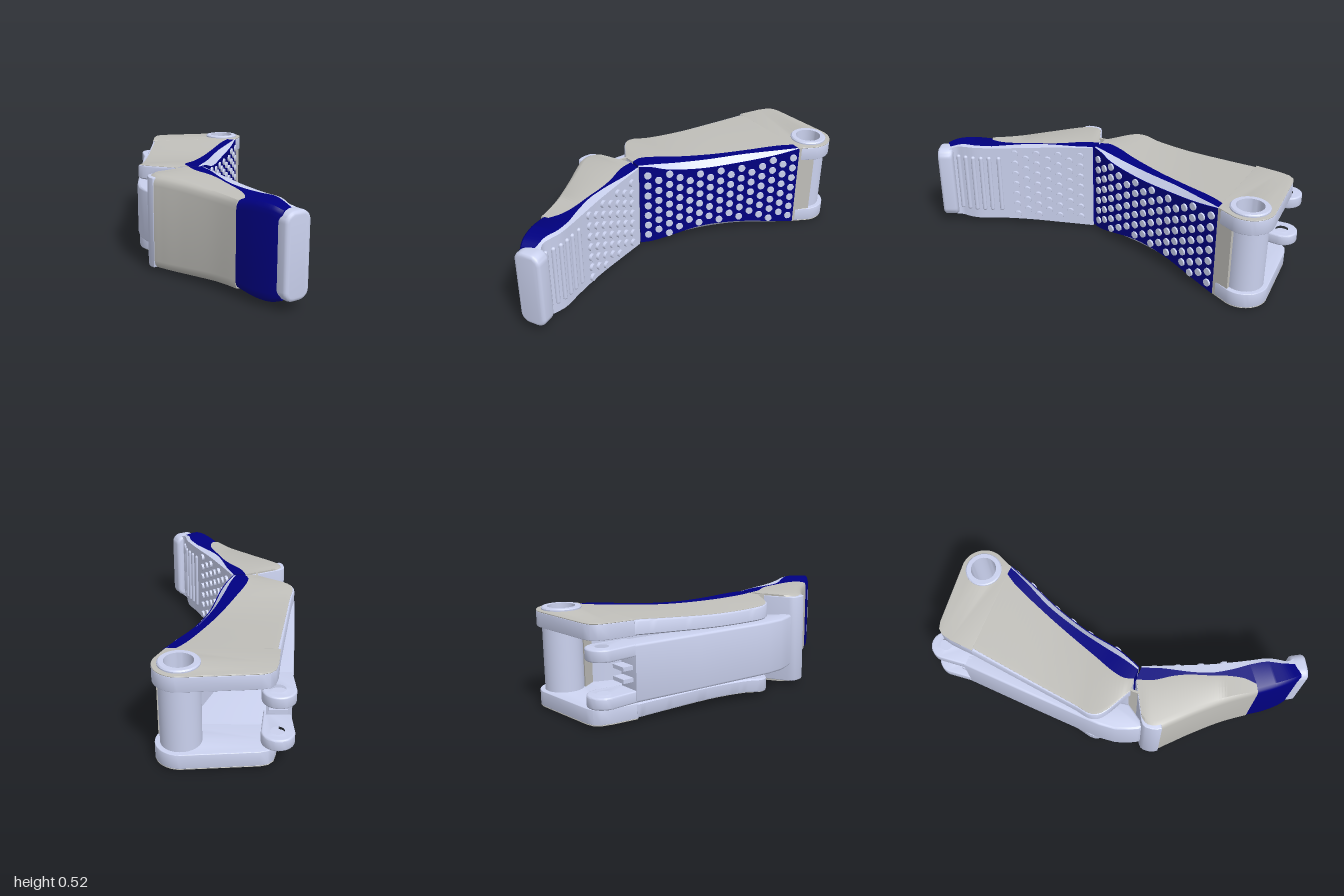
import * as THREE from 'three';
import { toCreasedNormals } from 'three/addons/utils/BufferGeometryUtils.js';

const MID = 0.2625; // height of the mirror plane
const grey = new THREE.MeshStandardMaterial({ color: 0xc0bfba });
const pale = new THREE.MeshStandardMaterial({ color: 0xcad1ee });
const blue = new THREE.MeshStandardMaterial({ color: 0x000080 });

// A curve from [x, z, half height] points; the half height rides along as y
const curve = (pts) => new THREE.CatmullRomCurve3(pts.map(([x, z, h]) => new THREE.Vector3(x, h, z)), false, 'centripetal');
const shift = (c, dx) => new THREE.CatmullRomCurve3(c.points.map((p) => p.clone().setX(p.x + dx)), false, 'centripetal');

// Solid between two curves; section is a convex loop of [u across, v of half height]
function loft(a, b, section, steps = 40) {
  const pos = [], idx = [], n = section.length;
  for (let j = 0; j <= steps; j++) {
    const p = a.getPointAt(j / steps), q = b.getPointAt(j / steps);
    for (const [u, v] of section) {
      const m = p.clone().lerp(q, u);
      pos.push(m.x, MID + v * m.y, m.z);
    }
  }
  for (let j = 0; j < steps; j++) {
    for (let i = 0; i < n; i++) {
      const k = (i + 1) % n, r = j * n, s = r + n;
      idx.push(r + i, r + k, s + i, r + k, s + k, s + i);
    }
  }
  const e = steps * n;
  for (let i = 1; i < n - 1; i++) idx.push(0, i + 1, i, e, e + i, e + i + 1);
  const g = new THREE.BufferGeometry();
  g.setAttribute('position', new THREE.Float32BufferAttribute(pos, 3));
  g.setIndex(idx);
  return toCreasedNormals(g, 0.6);
}

// Upright prism from [x, z] corners, with round holes [x, z, r] and rounded rims
function prism(pts, y0, y1, holes = [], bevel = 0.01) {
  const s = new THREE.Shape(pts.map(([x, z]) => new THREE.Vector2(x, -z)));
  for (const [x, z, r] of holes) s.holes.push(new THREE.Path().absarc(x, -z, r, 0, Math.PI * 2, true));
  const g = new THREE.ExtrudeGeometry(s, {
    depth: y1 - y0 - 2 * bevel, bevelEnabled: bevel > 0, bevelThickness: bevel,
    bevelSize: bevel, bevelOffset: -bevel, bevelSegments: 3, curveSegments: 32,
  });
  g.rotateX(-Math.PI / 2).translate(0, y0 + bevel, 0);
  return toCreasedNormals(g, 0.6);
}

const arc = (cx, cz, r, a0, a1, n = 16) => Array.from({ length: n + 1 }, (_, i) => {
  const a = a0 + (a1 - a0) * i / n;
  return [cx + r * Math.cos(a), cz + r * Math.sin(a)];
});

const FULL = [[0, -1], [1, -1], [1, 1], [0, 1]];
const ROUND = [[0, -0.8], [0.02, -0.9], [0.07, -0.96], [0.16, -1], [1, -1], [1, 1], [0.16, 1], [0.07, 0.96], [0.02, 0.9], [0, 0.8]];
const PLATE = [[0, 0.7], [0.03, 0.67], [1, 0.67], [1, 0.985], [0.04, 0.985], [0.01, 0.97], [0, 0.94]];
const SKIN = [[0.03, 0.97], [1, 0.97], [1, 1], [0.1, 1], [0.03, 0.988]];
const flip = (s) => s.map(([u, v]) => [u, -v]).reverse();

export function createModel() {
  const root = new THREE.Group();
  const add = (name, geo, mat, parent = root) => {
    const m = new THREE.Mesh(geo, mat);
    m.name = name;
    parent.add(m);
    return m;
  };
  // Puts a stud or ridge on a curve, facing along its outward normal
  const place = (mesh, c, t, y, upright) => {
    const p = c.getPointAt(t), d = c.getTangentAt(t);
    const n = new THREE.Vector3(d.z, 0, -d.x).normalize();
    mesh.position.set(p.x, y, p.z);
    if (!upright) mesh.quaternion.setFromUnitVectors(new THREE.Vector3(0, 1, 0), n);
  };
  const stud = new THREE.CylinderGeometry(0.02, 0.022, 0.03, 14);
  const studs = (name, c, cols, t0, t1) => {
    const g = new THREE.Group();
    g.name = name;
    root.add(g);
    for (let i = 0; i < cols; i++) {
      const t = t0 + (t1 - t0) * i / (cols - 1), lim = c.getPointAt(t).y - 0.02;
      for (let k = -3; k <= 3; k++) {
        const dy = (k + (i % 2 ? 0.5 : 0)) * 0.065;
        if (Math.abs(dy) < lim) place(add('gripStud', stud, pale, g), c, t, MID + dy);
      }
    }
  };

  // Long segment, waisted in the middle: two skinned side plates joined by a grip wall
  const back = curve([[-0.255, -0.74, 0.25], [-0.282, -0.55, 0.238], [-0.318, -0.3, 0.226], [-0.349, -0.1, 0.23], [-0.367, -0.01, 0.24], [-0.345, 0.04, 0.245], [-0.17, 0.145, 0.25]]);
  const seam = curve([[0.235, -0.74, 0.25], [0.19, -0.67, 0.245], [0.1, -0.47, 0.231], [0.03, -0.3, 0.226], [-0.05, -0.1, 0.234], [-0.1, 0.02, 0.246], [-0.115, 0.09, 0.252], [-0.1, 0.138, 0.252]]);
  const edge = curve([[0.28, -0.74, 0.248], [0.225, -0.62, 0.243], [0.138, -0.45, 0.231], [0.068, -0.25, 0.226], [0.02, -0.08, 0.235], [-0.018, 0.06, 0.249], [-0.045, 0.14, 0.252]]);
  const face = curve([[0.283, -0.735, 0.246], [0.235, -0.6, 0.222], [0.152, -0.4, 0.197], [0.085, -0.2, 0.192], [0.032, 0, 0.222], [-0.005, 0.08, 0.244], [-0.035, 0.14, 0.25]]);
  add('upperPlate', loft(back, seam, PLATE), pale);
  add('lowerPlate', loft(back, seam, flip(PLATE)), pale);
  add('upperSkin', loft(back, seam, SKIN), grey);
  add('lowerSkin', loft(back, seam, flip(SKIN)), grey);
  add('innerLining', loft(shift(seam, -0.03), seam, FULL.map(([u, v]) => [u, v * 0.8])), pale);
  add('gripWall', loft(seam, edge, FULL), blue);
  add('gripFlare', loft(edge, face, FULL), pale);
  add('gripFace', loft(face, shift(face, 0.006), FULL), blue);
  studs('longGripStuds', face, 15, 0.035, 0.95);

  // Knuckle end: plate heads around a hollow pivot tube
  const pivot = [0.21, -0.87];
  const head = [[-0.255, -0.735], [-0.24, -0.87], [-0.225, -0.925], [-0.2, -0.953], [-0.16, -0.965],
    ...arc(...pivot, 0.125, -Math.PI / 2, 0.35), [0.283, -0.735]];
  const hole = [[...pivot, 0.085]];
  add('upperHead', prism(head, 0.43, 0.508, hole, 0.003), pale);
  add('lowerHead', prism(head, 0.017, 0.095, hole, 0.003), pale);
  add('upperHeadSkin', prism(head, 0.5065, 0.5125, hole, 0.002), grey);
  add('lowerHeadSkin', prism(head, 0.0125, 0.0185, hole, 0.002), grey);
  add('wallEnd', prism([[0.14, -0.79], [0.21, -0.785], [0.285, -0.83], [0.322, -0.825], [0.284, -0.735], [0.2, -0.7]], 0.015, 0.51, [], 0), grey);
  const tube = [[0.07, 0], [0.094, 0], [0.1, 0.006], [0.1, 0.519], [0.094, 0.525], [0.07, 0.525], [0.07, 0]];
  const tubeGeo = new THREE.LatheGeometry(tube.map((p) => new THREE.Vector2(...p)), 48);
  add('pivotTube', toCreasedNormals(tubeGeo, 0.6), pale).position.set(pivot[0], 0, pivot[1]);

  // Link bar behind the plates, forked at the rear, with sunk pins in the ears
  const link = new THREE.Group();
  link.name = 'linkBar';
  root.add(link);
  add('barBody', prism([[-0.315, -0.78], [-0.345, -0.4], [-0.37, -0.05], [-0.375, 0.04], [-0.368, 0.13], [-0.345, 0.2],
    [-0.32, 0.25], [-0.3, 0.26], [-0.275, 0.24], [-0.21, 0.15], [-0.225, 0.05], [-0.24, -0.1], [-0.19, -0.78]], 0.12, 0.407, [], 0.012), pale, link);
  const ear = [...arc(-0.242, -0.917, 0.08, Math.PI, Math.PI * 2), [-0.18, -0.74], [-0.31, -0.74]];
  const pin = new THREE.CylinderGeometry(0.043, 0.043, 0.02, 24);
  for (const y of [0.12, 0.347]) {
    add('forkEar', prism(ear, y, y + 0.06, [[-0.24, -0.915, 0.042]], 0.008), pale, link);
    add('earPin', pin, pale, link).position.set(-0.24, y + 0.03, -0.915);
  }
  for (const y of [0.23, 0.29]) {
    add('forkRib', new THREE.BoxGeometry(0.09, 0.02, 0.07), pale, link).position.set(-0.245, y, -0.8);
  }

  // Thin flexible hinge between the segments
  add('hinge', new THREE.BoxGeometry(0.012, 0.5, 0.06), grey).position.set(-0.165, MID, 0.165);

  // Tip segment, bent forward, with a pale rear wrap
  const dorsal = curve([[-0.3, 0.255, 0.248], [-0.325, 0.29, 0.25], [-0.315, 0.345, 0.25], [-0.26, 0.405, 0.25], [-0.16, 0.505, 0.242], [-0.03, 0.65, 0.226], [0.065, 0.78, 0.217]]);
  const tipSeam = curve([[-0.1, 0.152, 0.252], [-0.075, 0.23, 0.25], [-0.01, 0.33, 0.246], [0.025, 0.4, 0.242], [0.06, 0.5, 0.236], [0.1, 0.61, 0.229], [0.116, 0.69, 0.225], [0.11, 0.756, 0.222]]);
  const tipEdge = curve([[-0.03, 0.152, 0.252], [0.005, 0.25, 0.249], [0.025, 0.33, 0.246], [0.045, 0.41, 0.242], [0.08, 0.51, 0.236], [0.14, 0.61, 0.23], [0.2, 0.69, 0.228]]);
  const pad = curve([[-0.02, 0.152, 0.25], [0.05, 0.32, 0.242], [0.12, 0.48, 0.233], [0.18, 0.6, 0.227], [0.222, 0.68, 0.225]]);
  add('tipBody', loft(dorsal, tipSeam, ROUND), grey);
  add('tipRear', prism([[-0.328, 0.285], [-0.326, 0.32], [-0.319, 0.346], [-0.303, 0.367], [-0.2, 0.3], [-0.1, 0.17],
    [-0.1, 0.148], [-0.3, 0.25], [-0.32, 0.266]], 0.022, 0.503, [], 0.004), pale);
  add('tipBand', loft(tipSeam, tipEdge, FULL), blue);
  add('tipPad', loft(tipEdge, pad, FULL), pale);
  studs('tipGripStuds', pad, 7, 0.12, 0.77);

  // Coloured end with its ridged pad and pale nose
  const endBack = curve([[0.065, 0.78, 0.217], [0.13, 0.87, 0.233], [0.2, 0.945, 0.228], [0.24, 0.975, 0.212]]);
  const endEdge = curve([[0.2, 0.69, 0.228], [0.245, 0.77, 0.233], [0.265, 0.85, 0.232], [0.295, 0.92, 0.212]]);
  const endPad = curve([[0.222, 0.68, 0.225], [0.268, 0.77, 0.227], [0.282, 0.83, 0.226], [0.292, 0.875, 0.22], [0.325, 0.905, 0.208]]);
  add('endCap', loft(endBack, endEdge, ROUND), blue);
  add('endPad', loft(endEdge, endPad, FULL), pale);
  const outline = [[1, 1], [-1, 1], [-1, -1], [1, -1]].flatMap(([sx, sz], i) =>
    arc(sx * 0.021, sz * 0.16, 0.053, i * Math.PI / 2, (i + 1) * Math.PI / 2, 8));
  const nose = add('nose', prism(outline, -0.043, 0.043, [], 0.018).rotateX(Math.PI / 2), pale);
  nose.position.set(0.297, MID, 0.942);
  nose.rotation.y = 0.5;
  const ridge = new THREE.CapsuleGeometry(0.013, 0.32, 4, 10);
  place(add('gripRidge', ridge, pale), pad, 0.93, MID, true);
  for (let i = 0; i < 5; i++) place(add('gripRidge', ridge, pale), endPad, 0.06 + 0.18 * i, MID, true);

  return root;
}
